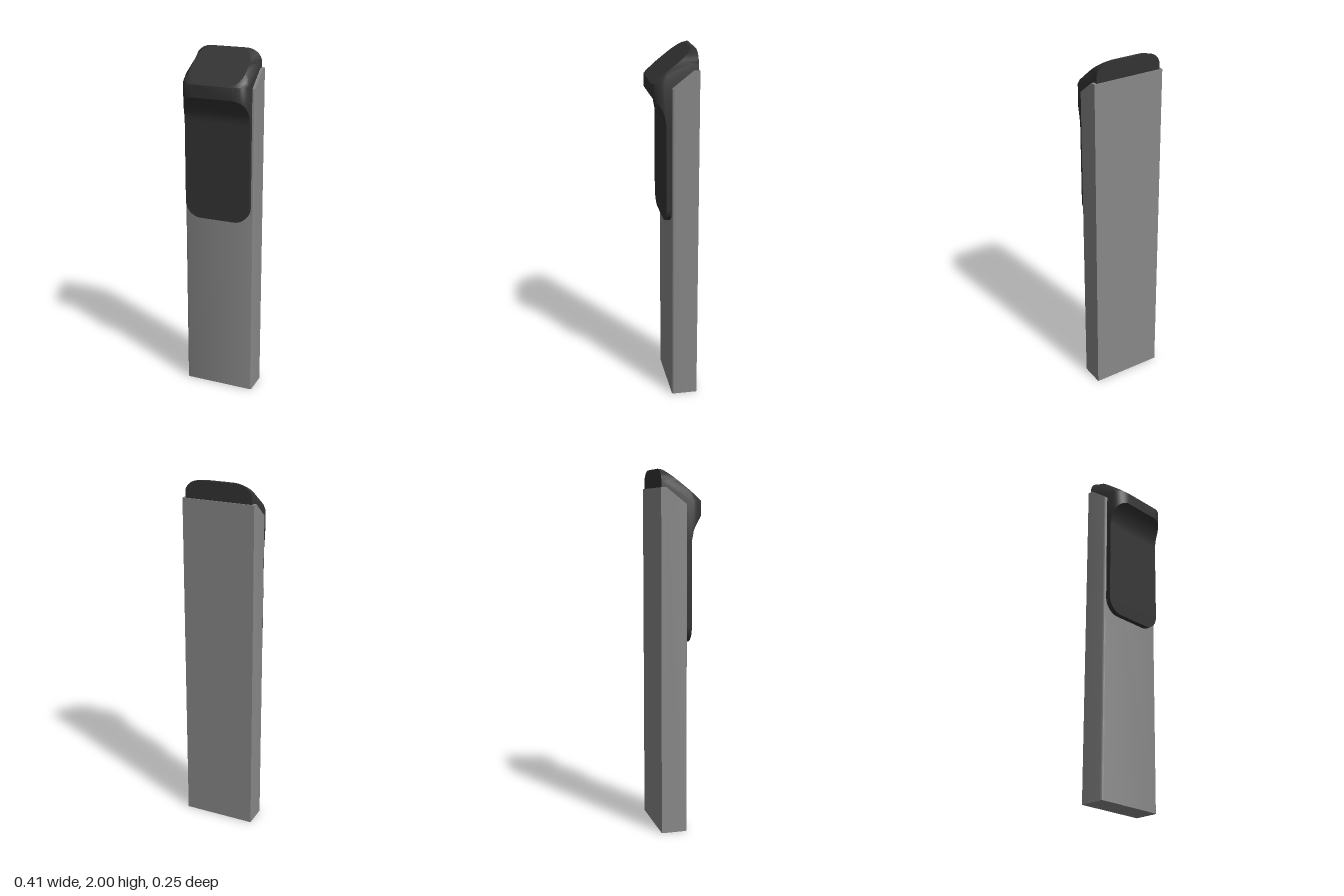
import * as THREE from 'three';
import { toCreasedNormals } from 'three/addons/utils/BufferGeometryUtils.js';

const grey = new THREE.MeshStandardMaterial({ color: 0x888888 });
const dark = new THREE.MeshStandardMaterial({ color: 0x333333, side: THREE.DoubleSide });
const SEG = 12;

// Skins a list of point rows, running from the upper row to the lower one
function skin(rows, closed, crease = 0.7) {
  const n = rows[0].length, index = [];
  for (let r = 0; r < rows.length - 1; r++) {
    for (let i = 0; i < (closed ? n : n - 1); i++) {
      const a = r * n + i, b = r * n + (i + 1) % n;
      index.push(a, b, a + n, b, b + n, a + n);
    }
  }
  const g = new THREE.BufferGeometry().setFromPoints(rows.flat());
  g.setIndex(index);
  return toCreasedNormals(g, crease);
}

// Runs through four quarter-round corners, front pair first
function ring(point) {
  const pts = [];
  for (let q = 0; q < 4; q++) {
    for (let i = 0; i <= SEG; i++) {
      const t = (q + i / SEG) * Math.PI / 2;
      pts.push(point(Math.cos(t), Math.sin(t), q === 0 || q === 3 ? 1 : -1, q < 2));
    }
  }
  return pts;
}

// Upright block with optional rounded front edges
function block(hw, z0, z1, height, r) {
  const s = new THREE.Shape();
  s.moveTo(-hw, -z0);
  s.lineTo(-hw, -z1 + r);
  if (r) s.quadraticCurveTo(-hw, -z1, -hw + r, -z1);
  s.lineTo(hw - r, -z1);
  if (r) s.quadraticCurveTo(hw, -z1, hw, -z1 + r);
  s.lineTo(hw, -z0);
  return new THREE.ExtrudeGeometry(s, { depth: height, bevelEnabled: false, curveSegments: 6 }).rotateX(-Math.PI / 2);
}

export function createModel() {
  const model = new THREE.Group();
  const add = (name, geometry, material) => {
    const mesh = new THREE.Mesh(geometry, material);
    mesh.name = name;
    model.add(mesh);
  };

  // Post: narrow flat back strip and a front part with a sloping top
  add('postBack', block(0.205, -0.125, -0.095, 1.9, 0), grey);
  const front = block(0.205, -0.095, 0.02, 1.9, 0.012);
  const p = front.attributes.position;
  for (let i = 0; i < p.count; i++) {
    if (p.getY(i) > 1) p.setY(i, 1.9 - 0.78 * (p.getZ(i) + 0.095));
  }
  front.deleteAttribute('normal');
  add('postFront', toCreasedNormals(front, 0.6), grey);

  // Head: sloping display face, rounded shoulder, outer rim and lower edge
  const face = ring((c, s, sx, isFront) => {
    const z = (isFront ? 0.035 : -0.015) + 0.085 * s;
    return new THREE.Vector3(sx * 0.073 + 0.085 * c, 1.83 + 0.773 * (0.12 - z), z);
  });
  const rim = ring((c, s, sx, isFront) => isFront
    ? new THREE.Vector3(sx * 0.11 + 0.08 * c, 1.83, 0.05 + 0.07 * s)
    : new THREE.Vector3(sx * 0.1 + 0.09 * c, 1.93 - 0.07 * s, -0.12));
  const shoulder = face.map((a, i) => new THREE.Vector3(
    THREE.MathUtils.lerp(a.x, rim[i].x, 0.65),
    THREE.MathUtils.lerp(a.y, rim[i].y, 0.35),
    THREE.MathUtils.lerp(a.z, rim[i].z, 0.65)));
  const rise = (z) => 0.14 * Math.sqrt(Math.max(0, z - 0.05) / 0.07);
  const lower = rim.map((v) => new THREE.Vector3(v.x, 1.62 + rise(v.z), v.z));
  add('headShell', skin([face, shoulder, rim, lower], true, 0.8), dark);

  const centre = new THREE.Vector3(0, 1.83 + 0.773 * 0.11, 0.01);
  add('displayFace', skin([face.map(() => centre), face], true), dark);

  // Concave underside sweeping from the lip into the front panel
  const lip = lower.slice(0, 2 * (SEG + 1));
  const sweep = [];
  for (let k = 0; k <= 10; k++) {
    const t = 1 - k / 10;
    sweep.push(lip.map((v) => new THREE.Vector3(
      v.x, 1.62 + rise(v.z) * t, 0.05 + (v.z - 0.05) * t * t)));
  }
  add('headUnderside', skin(sweep, false, 1), dark);

  // Front panel with rounded lower corners
  const s = new THREE.Shape();
  s.moveTo(-0.19, 1.62);
  s.lineTo(-0.19, 1.15);
  s.absarc(-0.1, 1.15, 0.09, Math.PI, Math.PI * 1.5);
  s.absarc(0.1, 1.15, 0.09, Math.PI * 1.5, Math.PI * 2);
  s.lineTo(0.19, 1.62);
  const panel = new THREE.ExtrudeGeometry(s, { depth: 0.05, bevelEnabled: false, curveSegments: 12 });
  add('frontPanel', toCreasedNormals(panel, 0.6), dark);

  return model;
}
